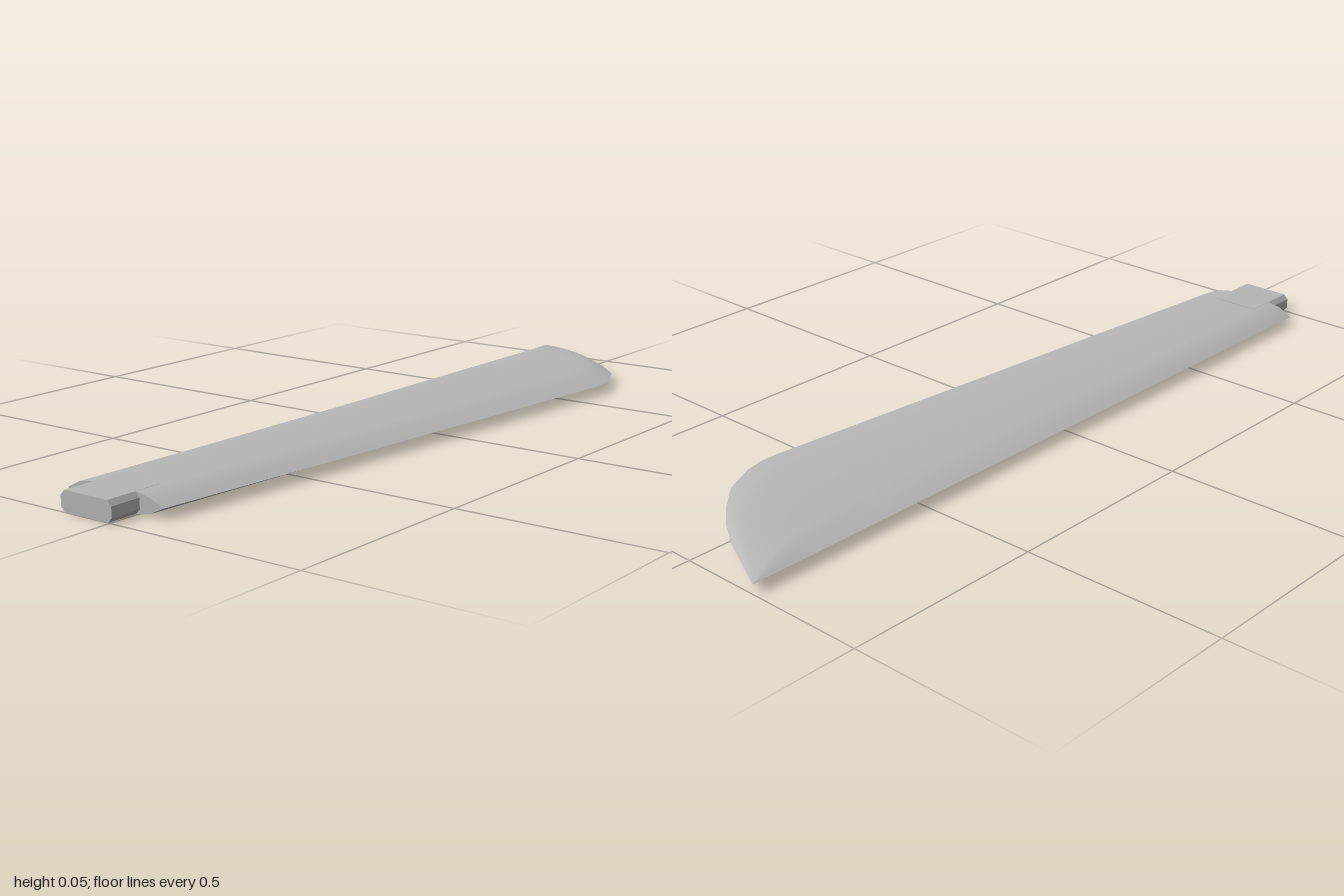
import * as THREE from 'three';

const LEFT = -0.205, MID = 0.026;

// Stations along the blade: z, right edge x, half thickness
const STATIONS = [
  [0.92, 0.072, 0.024], [0.5, 0.109, 0.022], [0, 0.152, 0.0195], [-0.58, 0.203, 0.0175],
  [-0.63, 0.203, 0.0172], [-0.68, 0.191, 0.017], [-0.76, 0.152, 0.0165], [-0.83, 0.085, 0.016],
  [-0.875, 0.03, 0.015], [-0.92, -0.04, 0.012], [-0.96, -0.122, 0.007], [-1, LEFT + 0.001, 0],
];
// Chord profile: fraction of the width, fraction of the half thickness
const PROFILE = [[0, 0], [0.125, 0.75], [0.25, 1], [0.5, 0.96], [0.75, 1], [0.875, 0.7], [1, 0]];

// One smooth face of the blade, side = 1 for the top and -1 for the bottom
function bladeFace(side) {
  const pos = [], index = [], n = PROFILE.length;
  for (const [z, right, half] of STATIONS)
    for (const [u, t] of PROFILE) pos.push(LEFT + (right - LEFT) * u, MID + side * half * t, z);
  for (let r = 0; r < STATIONS.length - 1; r++) {
    for (let c = 0; c < n - 1; c++) {
      const a = r * n + c, b = a + 1, d = a + n, e = d + 1;
      if (side > 0) index.push(a, b, d, b, e, d);
      else index.push(a, d, b, b, d, e);
    }
  }
  const geo = new THREE.BufferGeometry();
  geo.setAttribute('position', new THREE.Float32BufferAttribute(pos, 3));
  geo.setIndex(index);
  geo.computeVertexNormals();
  return geo;
}

// Flat end closing the root of the blade
function rootCap() {
  const [z, right, half] = STATIONS[0];
  const at = (side) => ([u, t]) => new THREE.Vector2(LEFT + (right - LEFT) * u, MID + side * half * t);
  const upper = PROFILE.map(at(1)).reverse();
  const lower = PROFILE.slice(1, -1).map(at(-1));
  return new THREE.ShapeGeometry(new THREE.Shape([...upper, ...lower])).translate(0, 0, z);
}

// Chamfered mounting tang
function tangGeometry() {
  const w = 0.0735, h = 0.0243, cx = 0.011, cy = 0.012;
  const points = [[w, h - cy], [w - cx, h], [cx - w, h], [-w, h - cy],
    [-w, cy - h], [cx - w, -h], [w - cx, -h], [w, cy - h]].map(([x, y]) => new THREE.Vector2(x, y));
  return new THREE.ExtrudeGeometry(new THREE.Shape(points), { depth: 0.15, bevelEnabled: false })
    .translate(-0.0675, MID, 0.85);
}

export function createModel() {
  const grey = new THREE.MeshStandardMaterial({ color: 0xb6b6b6 });
  grey.name = 'light grey';
  const model = new THREE.Group();
  model.name = 'fanBlade';
  const add = (name, geo) => {
    const mesh = new THREE.Mesh(geo, grey);
    mesh.name = name;
    model.add(mesh);
  };
  add('bladeTop', bladeFace(1));
  add('bladeBottom', bladeFace(-1));
  add('bladeRoot', rootCap());
  add('mountingTang', tangGeometry());
  return model;
}
